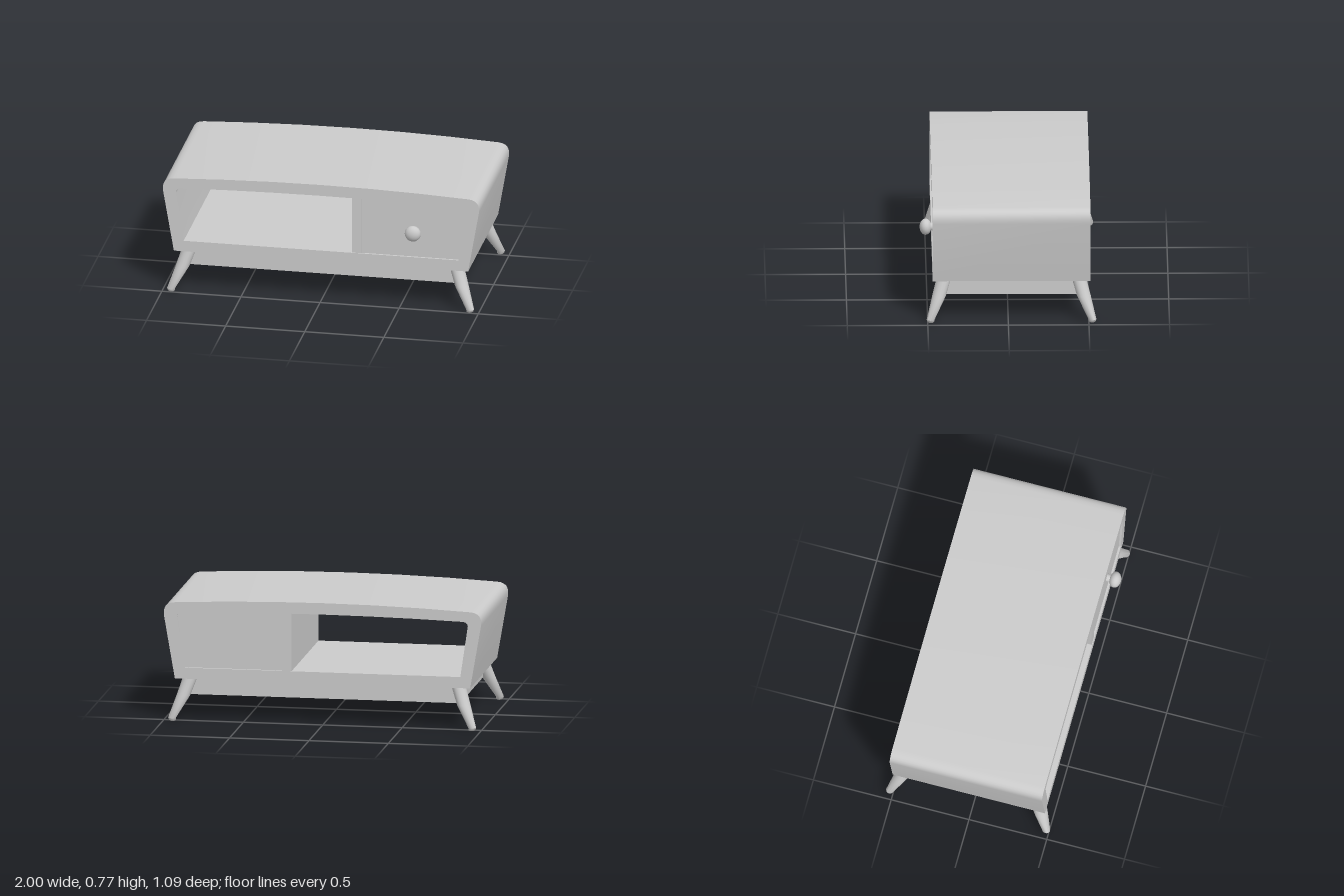
import * as THREE from 'three';
import { toCreasedNormals } from 'three/addons/utils/BufferGeometryUtils.js';

const material = new THREE.MeshStandardMaterial({ color: 0xcccccc });
const MID_Z = -0.02; // centre of the cabinet depth

function addMesh(parent, name, geometry) {
  const mesh = new THREE.Mesh(geometry, material);
  mesh.name = name;
  parent.add(mesh);
  return mesh;
}

function addBox(parent, name, [x0, x1], [y0, y1], [z0, z1]) {
  const mesh = addMesh(parent, name, new THREE.BoxGeometry(x1 - x0, y1 - y0, z1 - z0));
  mesh.position.set((x0 + x1) / 2, (y0 + y1) / 2, (z0 + z1) / 2);
}

function extrudeBetween(shape, z0, z1) {
  const geometry = new THREE.ExtrudeGeometry(shape, { depth: z1 - z0, bevelEnabled: false, curveSegments: 6 });
  geometry.translate(0, 0, z0);
  return toCreasedNormals(geometry, 0.6);
}

// Flared outline with rounded upper corners and a gently arched top
function outline(path, bottom, side, corner, top, archControlY) {
  path.moveTo(-bottom[0], bottom[1]);
  path.lineTo(bottom[0], bottom[1]);
  path.lineTo(side[0], side[1]);
  path.quadraticCurveTo(corner[0], corner[1], top[0], top[1]);
  path.quadraticCurveTo(0, archControlY, -top[0], top[1]);
  path.quadraticCurveTo(-corner[0], corner[1], -side[0], side[1]);
  path.closePath();
  return path;
}

// Splayed leg lofted through rings of [x, y, z, radius], ending in a flat foot
function legGeometry(sx, sz) {
  const rings = [
    [0.843, 0.275, 0.417, 0.046],
    [0.85, 0.25, 0.422, 0.045],
    [0.882, 0.155, 0.449, 0.043],
    [0.945, 0.02, 0.502, 0.025],
    [0.943, 0.005, 0.501, 0.021],
    [0.941, 0, 0.5, 0.014],
    [0.941, 0, 0.5, 0],
  ];
  const sides = 16;
  const positions = [];
  const index = [];
  rings.forEach(([x, y, z, r], i) => {
    for (let j = 0; j < sides; j++) {
      const a = (j / sides) * Math.PI * 2;
      positions.push(sx * x + r * Math.cos(a), y, sz * z + r * Math.sin(a));
      if (i === rings.length - 1) continue;
      const p = i * sides + j;
      const q = i * sides + ((j + 1) % sides);
      index.push(p, q, p + sides, q, q + sides, p + sides);
    }
  });
  const geometry = new THREE.BufferGeometry();
  geometry.setAttribute('position', new THREE.Float32BufferAttribute(positions, 3));
  geometry.setIndex(index);
  return toCreasedNormals(geometry, 0.8);
}

export function createModel() {
  const table = new THREE.Group();
  table.name = 'coffeeTable';

  // Cabinet shell, open from front to back
  const shell = outline(new THREE.Shape(), [0.93, 0.265], [0.998, 0.66], [1.01, 0.743], [0.93, 0.747], 0.799);
  shell.holes.push(outline(new THREE.Path(), [0.868, 0.335], [0.914, 0.648], [0.922, 0.684], [0.872, 0.685], 0.716));
  addMesh(table, 'cabinetShell', extrudeBetween(shell, -0.51, 0.47));

  // Divider and drawer, their hidden edges set into the shell
  addBox(table, 'divider', [0.195, 0.256], [0.325, 0.71], [-0.505, 0.465]);
  const drawer = new THREE.Shape();
  drawer.moveTo(0.25, 0.325);
  drawer.lineTo(0.88, 0.325);
  drawer.lineTo(0.93, 0.655);
  drawer.lineTo(0.9, 0.7);
  drawer.lineTo(0.25, 0.71);
  drawer.closePath();
  addMesh(table, 'drawer', extrudeBetween(drawer, -0.495, 0.457));

  // Flattened knob on a short stem
  const knob = new THREE.Group();
  knob.name = 'drawerKnob';
  knob.position.set(0.588, 0.508, 0.51);
  const ball = addMesh(knob, 'knobBall', new THREE.SphereGeometry(0.051, 16, 10));
  ball.rotation.x = Math.PI / 2;
  ball.scale.set(1, 0.73, 1);
  const stem = addMesh(knob, 'knobStem', new THREE.CylinderGeometry(0.024, 0.027, 0.05, 16));
  stem.rotation.x = Math.PI / 2;
  stem.position.z = -0.04;
  table.add(knob);

  // Recessed plinth under the cabinet
  addBox(table, 'plinth', [-0.855, 0.855], [0.155, 0.27], [MID_Z - 0.42, MID_Z + 0.42]);

  // Four splayed legs
  for (const sx of [-1, 1]) {
    for (const sz of [-1, 1]) {
      const name = (sz > 0 ? 'front' : 'back') + (sx > 0 ? 'Left' : 'Right') + 'Leg';
      addMesh(table, name, legGeometry(sx, sz)).position.z = MID_Z;
    }
  }
  return table;
}
